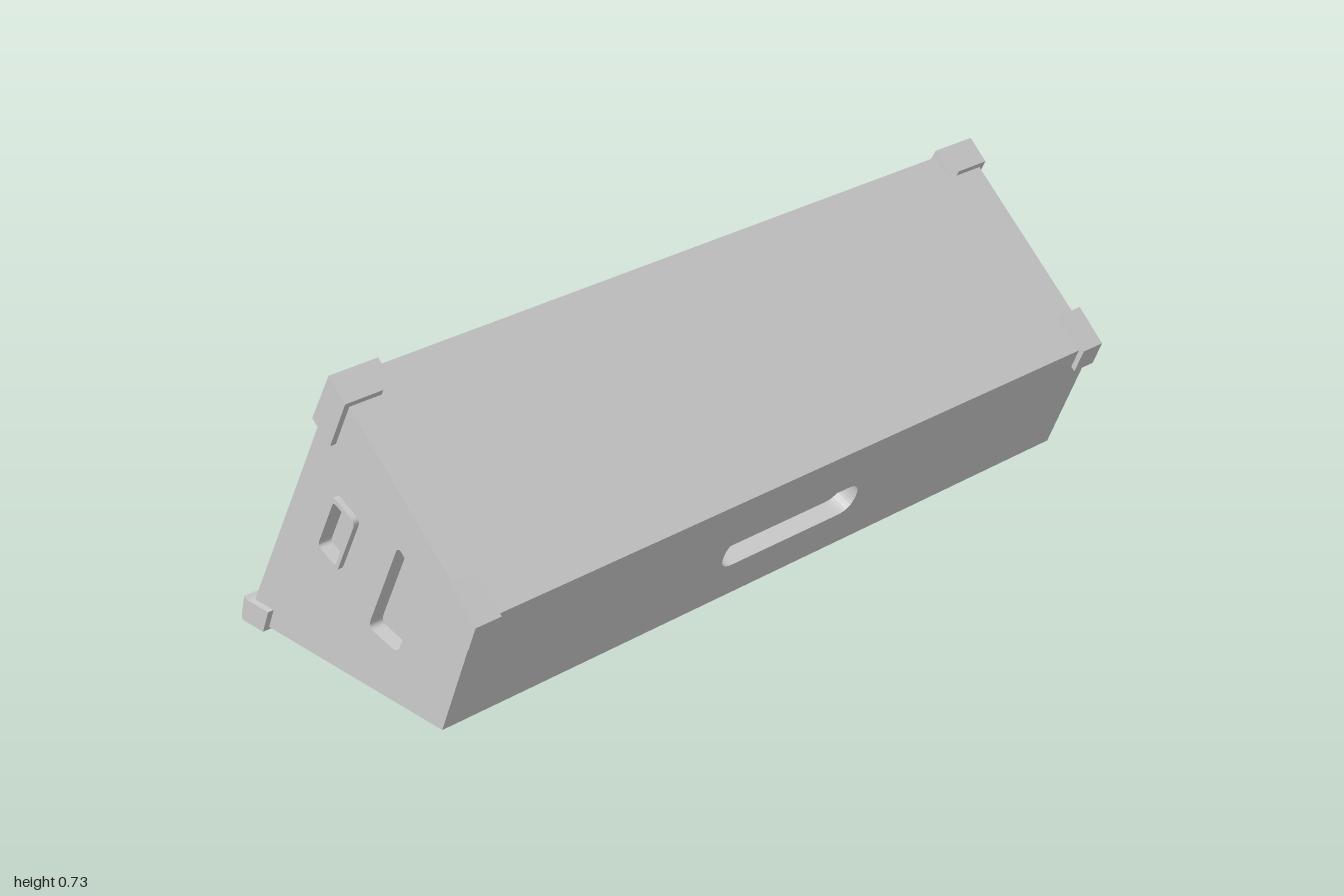
import * as THREE from 'three';

const grey = new THREE.MeshStandardMaterial({ color: 0xcccccc, side: THREE.DoubleSide });
const END = 0.985; // half length of the cabinet

// Closed outline with rounded corners
function rounded(points, r, Type = THREE.Shape) {
  const p = points.map(([x, y]) => new THREE.Vector2(x, y));
  const shape = new Type();
  p.forEach((c, i) => {
    const before = p[(i + p.length - 1) % p.length], after = p[(i + 1) % p.length];
    const a = c.clone().add(before.clone().sub(c).setLength(r));
    const b = c.clone().add(after.clone().sub(c).setLength(r));
    if (i) shape.lineTo(a.x, a.y); else shape.moveTo(a.x, a.y);
    shape.quadraticCurveTo(c.x, c.y, b.x, b.y);
  });
  shape.closePath();
  return shape;
}

const rect = (x0, y0, x1, y1) => [[x0, y0], [x1, y0], [x1, y1], [x0, y1]];

function tiltedRect(cx, cy, w, h, angle) {
  const c = Math.cos(angle), s = Math.sin(angle);
  return rect(-w / 2, -h / 2, w / 2, h / 2).map(([x, y]) => [cx + x * c - y * s, cy + x * s + y * c]);
}

function add(parent, geometry, name) {
  const mesh = new THREE.Mesh(geometry, grey);
  mesh.name = name;
  parent.add(mesh);
  return mesh;
}

// Side walls of a recess, running from the surface inwards
function recessWalls(shape, depth) {
  const pts = shape.getPoints(8);
  const pos = [];
  pts.forEach((a, i) => {
    const b = pts[(i + 1) % pts.length];
    pos.push(a.x, a.y, 0, a.x, a.y, -depth, b.x, b.y, -depth);
    pos.push(a.x, a.y, 0, b.x, b.y, -depth, b.x, b.y, 0);
  });
  const g = new THREE.BufferGeometry();
  g.setAttribute('position', new THREE.Float32BufferAttribute(pos, 3));
  g.computeVertexNormals();
  return g;
}

// Flat panel with sunken areas; local z points out of the cabinet
function panel(parent, name, outline, recesses = []) {
  const group = new THREE.Group();
  group.name = name;
  const shape = new THREE.Shape(outline.map(([x, y]) => new THREE.Vector2(x, y)));
  for (const r of recesses) {
    shape.holes.push(r.shape);
    add(group, recessWalls(r.shape, r.depth), r.name + 'Walls');
    if (r.floor !== false) {
      add(group, new THREE.ShapeGeometry(r.shape, 8), r.name + 'Floor').position.z = -r.depth;
    }
  }
  add(group, new THREE.ShapeGeometry(shape, 8), name + 'Surface');
  parent.add(group);
  return group;
}

// Bowed grille, closest to the surface at mid length
function grilleGeometry(s0, s1, half) {
  const g = new THREE.PlaneGeometry(s1 - s0, half * 2, 4, 32);
  g.translate((s0 + s1) / 2, 0, 0);
  const p = g.attributes.position;
  for (let i = 0; i < p.count; i++) {
    p.setZ(i, -0.028 - 0.032 * Math.pow(Math.abs(p.getY(i)) / half, 2.5));
  }
  g.computeVertexNormals();
  return g;
}

export function createModel() {
  const model = new THREE.Group();
  model.name = 'wedgeSpeaker';

  // Wedge profile, counter-clockwise
  const profile = [[-0.405, 0.008], [0.27, 0.008], [0.395, 0.315], [-0.038, 0.712]];

  // Long panels, one per profile edge
  const names = ['bottomPanel', 'handlePanel', 'topPanel', 'grillePanel'];
  const opening = { s0: 0.137, s1: 0.748, half: 0.865 };
  const sunken = {
    handlePanel: [{
      name: 'handleRecess', depth: 0.045,
      shape: rounded(rect(0.11, -0.215, 0.2, 0.215), 0.044, THREE.Path)
    }],
    grillePanel: [{
      name: 'grilleOpening', depth: 0.062, floor: false,
      shape: rounded(rect(opening.s0, -opening.half, opening.s1, opening.half), 0.003, THREE.Path)
    }]
  };
  // Hole outlines double as floors, so they must be shapes
  for (const list of Object.values(sunken)) {
    for (const r of list) r.shape = new THREE.Shape(r.shape.getPoints(8));
  }
  profile.forEach(([x, y], i) => {
    const [nx, ny] = profile[(i + 1) % 4];
    const along = new THREE.Vector3(nx - x, ny - y, 0);
    const length = along.length();
    along.normalize();
    const out = new THREE.Vector3(along.y, -along.x, 0);
    const side = panel(model, names[i], rect(0, -END, length, END), sunken[names[i]]);
    side.quaternion.setFromRotationMatrix(
      new THREE.Matrix4().makeBasis(along, new THREE.Vector3(0, 0, 1), out));
    side.position.set(x, y, 0);
    if (names[i] === 'grillePanel') {
      add(side, grilleGeometry(opening.s0, opening.s1, opening.half), 'grille');
    }
  });

  // End panels, the front one with a socket and a grip recess
  const tilt = -0.47;
  const front = panel(model, 'frontEnd', profile, [
    { name: 'socket', depth: 0.025, shape: rounded(tiltedRect(-0.05, 0.355, 0.064, 0.142, tilt), 0.012) },
    { name: 'gripRecess', depth: 0.035,
      shape: rounded([[0.15, 0.4], [0.218, 0.32], [0.13, 0.135], [0.033, 0.16]], 0.022) }
  ]);
  front.position.z = END;
  const back = panel(model, 'backEnd', profile.map(([x, y]) => [-x, y]).reverse());
  back.rotation.y = Math.PI;
  back.position.z = -END;

  // Raised frame and inner plate of the socket
  const frame = rounded(tiltedRect(-0.05, 0.355, 0.084, 0.166, tilt), 0.018);
  frame.holes.push(rounded(tiltedRect(-0.05, 0.355, 0.064, 0.142, tilt), 0.012, THREE.Path));
  add(model, new THREE.ExtrudeGeometry(frame, {
    depth: 0.014, bevelEnabled: false, curveSegments: 8
  }), 'socketFrame').position.z = END;
  add(model, new THREE.ExtrudeGeometry(rounded(tiltedRect(-0.05, 0.355, 0.052, 0.128, tilt), 0.006), {
    depth: 0.01, bevelEnabled: false
  }), 'socketPlate').position.z = END - 0.025;

  // Corner protectors on both ends: outline and inner z
  const protectors = [
    ['topCorner', 0.9, [[-0.036, 0.73], [-0.102, 0.61], [-0.045, 0.565], [0.015, 0.682]]],
    ['topCornerStrip', 0.87, [[-0.036, 0.73], [-0.063, 0.682], [-0.03, 0.655], [0.015, 0.682]]],
    ['sideCorner', 0.93, [[0.335, 0.39], [0.29, 0.335], [0.385, 0.256], [0.41, 0.317]]],
    ['bottomCorner', 0.87, [[-0.412, 0], [-0.335, 0], [-0.31, 0.06], [-0.386, 0.06], [-0.398, 0.066], [-0.412, 0.015]]]
  ];
  for (const [name, inner, points] of protectors) {
    const shape = new THREE.Shape(points.map(([x, y]) => new THREE.Vector2(x, y)));
    for (const end of [1, -1]) {
      const g = new THREE.ExtrudeGeometry(shape, { depth: 1 - inner, bevelEnabled: false });
      add(model, g, (end > 0 ? 'front' : 'back') + name[0].toUpperCase() + name.slice(1))
        .position.z = end > 0 ? inner : -1;
    }
  }
  return model;
}
